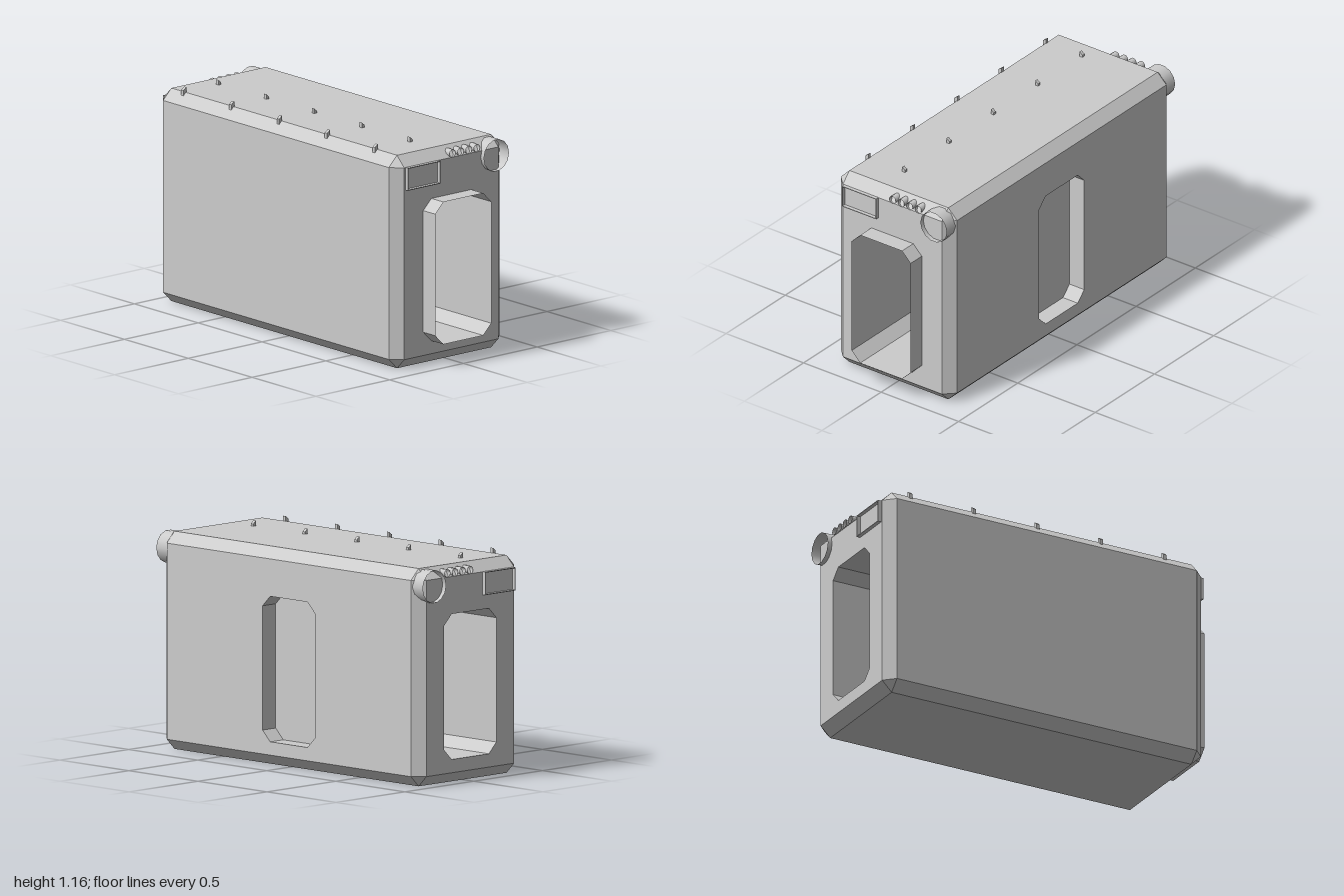
import * as THREE from 'three';

const HX = 0.94, HY = 0.565, HZ = 0.375, C = 0.056; // half sizes and bevel
const HALF = [HX, HY, HZ];

// Octagonal doorway outline
function doorway() {
  const w = 0.19, b = 0.125, t = 0.88, c = 0.055;
  return [[-w + c, b], [w - c, b], [w, b + c], [w, t - c], [w - c, t], [-w + c, t], [-w, t - c], [-w, b + c]]
    .map(([x, y]) => new THREE.Vector2(x, y));
}

// Flat wall with bevel margin, facing +z, with an optional doorway
function wallGeometry(halfWidth, withDoor) {
  const w = halfWidth - C, b = C, t = 2 * HY - C;
  const shape = new THREE.Shape([[-w, b], [w, b], [w, t], [-w, t]].map(([x, y]) => new THREE.Vector2(x, y)));
  if (withDoor) shape.holes.push(new THREE.Path(doorway()));
  return new THREE.ShapeGeometry(shape);
}

// Open octagonal lining running along z
function liningGeometry(z0, z1) {
  const pts = doorway(), pos = [];
  pts.forEach((p, i) => {
    const q = pts[(i + 1) % pts.length];
    pos.push(p.x, p.y, z0, q.x, q.y, z0, q.x, q.y, z1, p.x, p.y, z0, q.x, q.y, z1, p.x, p.y, z1);
  });
  const g = new THREE.BufferGeometry();
  g.setAttribute('position', new THREE.Float32BufferAttribute(pos, 3));
  g.computeVertexNormals();
  return g;
}

// Bevel strips on the twelve edges and triangles on the eight corners
function bevelGeometry() {
  const pos = [];
  const tri = (a, b, c) => {
    const n = b.clone().sub(a).cross(c.clone().sub(a));
    const outward = n.dot(a.clone().add(b).add(c)) > 0;
    for (const v of outward ? [a, b, c] : [a, c, b]) pos.push(v.x, v.y + HY, v.z);
  };
  // corner point lying on the face of the given axis
  const point = (signs, axis) => new THREE.Vector3(
    ...HALF.map((h, i) => signs[i] * (i === axis ? h : h - C)));
  const S = [-1, 1];
  for (const x of S) for (const y of S) for (const z of S) {
    const s = [x, y, z];
    tri(point(s, 0), point(s, 1), point(s, 2));
    for (let k = 0; k < 3; k++) {
      if (s[k] < 0) continue;
      const o = s.slice();
      o[k] = -1;
      const i = (k + 1) % 3, j = (k + 2) % 3;
      tri(point(s, i), point(s, j), point(o, j));
      tri(point(s, i), point(o, j), point(o, i));
    }
  }
  const g = new THREE.BufferGeometry();
  g.setAttribute('position', new THREE.Float32BufferAttribute(pos, 3));
  g.computeVertexNormals();
  return g;
}

export function createModel() {
  const grey = new THREE.MeshStandardMaterial({ color: 0xcccccc, side: THREE.DoubleSide });
  grey.name = 'light grey';

  const model = new THREE.Group();
  model.name = 'container';
  const body = new THREE.Group();
  body.name = 'body';
  body.position.x = -0.035;
  model.add(body);

  const add = (name, geometry, parent = body) => {
    const mesh = new THREE.Mesh(geometry, grey);
    mesh.name = name;
    parent.add(mesh);
    return mesh;
  };

  // Shell
  add('bevels', bevelGeometry());
  add('frontWall', wallGeometry(HX, false)).position.z = HZ;
  add('backWall', wallGeometry(HX, true).rotateY(Math.PI).translate(0, 0, -HZ));
  add('leftWall', wallGeometry(HZ, true).rotateY(Math.PI / 2).translate(HX, 0, 0));
  add('rightWall', wallGeometry(HZ, true).rotateY(-Math.PI / 2).translate(-HX, 0, 0));
  const slab = new THREE.PlaneGeometry(2 * (HX - C), 2 * (HZ - C));
  add('roof', slab.clone().rotateX(-Math.PI / 2).translate(0, 2 * HY, 0));
  add('floor', slab.clone().rotateX(Math.PI / 2));

  // Passage through both ends, projecting past the left wall
  add('passage', liningGeometry(-HX, 1.035).rotateY(Math.PI / 2));

  // Shallow recessed door in the back
  const recess = 0.095;
  add('backDoorFrame', liningGeometry(-HZ, -HZ + recess));
  add('backDoor', new THREE.ShapeGeometry(new THREE.Shape(doorway()))
    .rotateY(Math.PI).translate(0, 0, -HZ + recess));

  // Fittings at each end: round collar, row of short pipes, open sign frame
  for (const side of [-1, 1]) {
    const end = new THREE.Group();
    end.name = side > 0 ? 'leftFittings' : 'rightFittings';
    body.add(end);

    const collar = new THREE.CylinderGeometry(0.085, 0.085, 0.08, 14, 1, true).rotateZ(Math.PI / 2);
    add('collar', collar, end).position.set(side * 0.925, 1.04, -0.285);

    for (let i = 0; i < 4; i++) {
      const pipe = new THREE.CylinderGeometry(0.021, 0.021, 0.055, 10, 1, true).rotateZ(Math.PI / 2);
      add('pipe', pipe, end).position.set(side * 0.9175, 1.095, -0.17 + i * 0.055);
    }

    const sign = new THREE.Group();
    sign.name = 'signFrame';
    sign.position.set(side * 0.95, 1.015, 0.2);
    end.add(sign);
    for (const k of [-1, 1]) {
      add('signRail', new THREE.BoxGeometry(0.02, 0.004, 0.22), sign).position.y = k * 0.058;
      add('signPost', new THREE.BoxGeometry(0.02, 0.12, 0.004), sign).position.z = k * 0.108;
    }
  }

  // Two rows of small slanted cleats on the roof
  const cleat = (profile) => new THREE.ExtrudeGeometry(
    new THREE.Shape(profile.map(([z, y]) => new THREE.Vector2(-z, y))),
    { depth: 0.018, bevelEnabled: false }).translate(0, 0, -0.009).rotateY(Math.PI / 2);
  const frontCleat = cleat([[0.335, 1.11], [0.315, 1.12], [0.315, 1.157], [0.335, 1.142]]);
  const middleCleat = cleat([[0.098, 1.128], [0.08, 1.128], [0.08, 1.142], [0.098, 1.157]]);
  for (let i = 0; i < 5; i++) {
    const x = -0.78 + i * 0.375;
    add('frontCleat', frontCleat).position.x = x;
    add('middleCleat', middleCleat).position.x = x;
  }
  return model;
}
